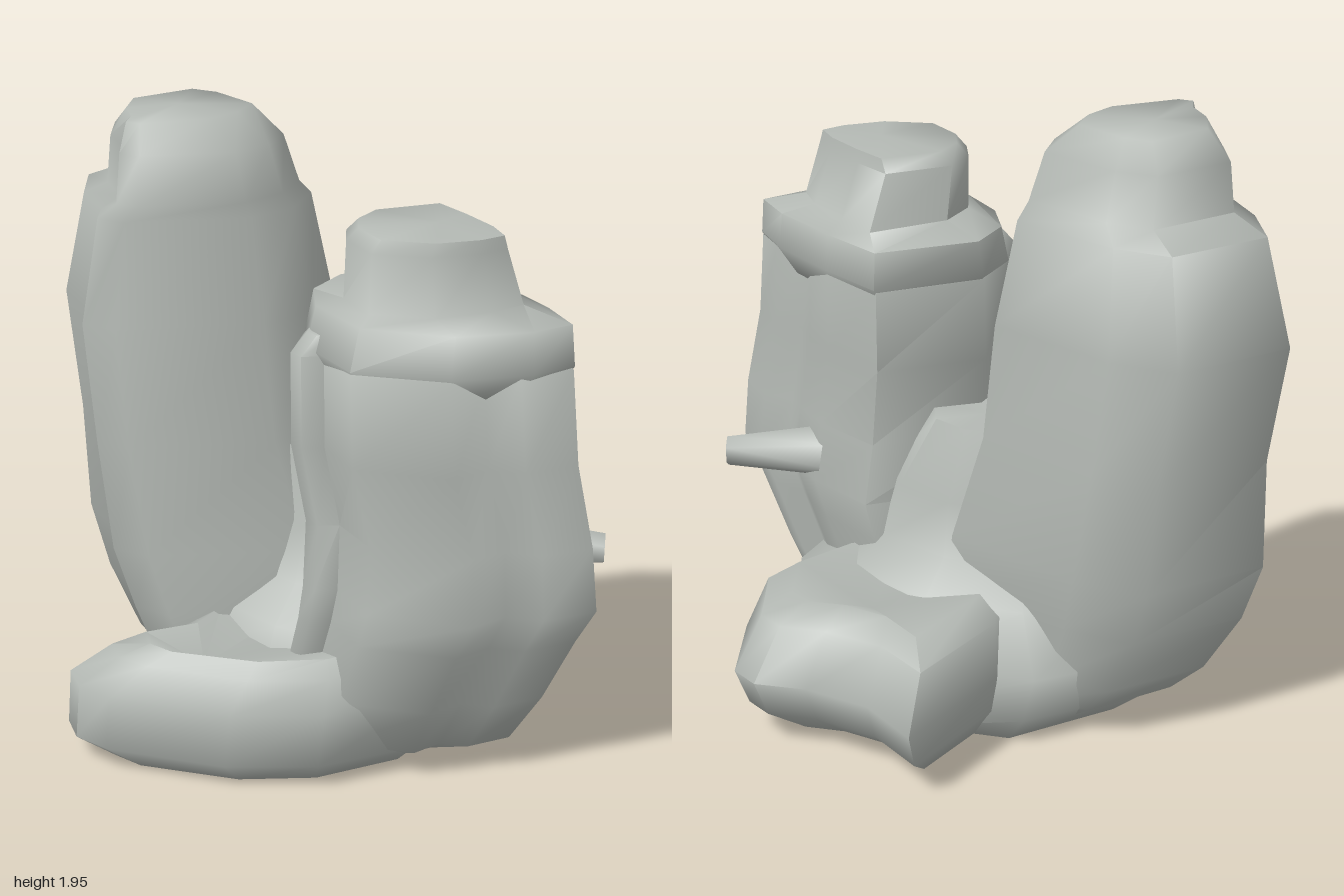
import * as THREE from 'three';
import { toCreasedNormals } from 'three/addons/utils/BufferGeometryUtils.js';

const stone = new THREE.MeshStandardMaterial({ color: 0xb4b9b4 });
stone.name = 'pale grey';

// Stacks one outline, fitted at each level to [y, xMin, xMax, zMin, zMax].
// dent = [x, y, z] is the middle of the top cap.
function loft(name, outline, levels, dent) {
  const pts = outline.map(p => new THREE.Vector2(...p));
  if (THREE.ShapeUtils.area(pts) > 0) pts.reverse();
  const box = new THREE.Box2().setFromPoints(pts);
  const size = box.getSize(new THREE.Vector2());
  const n = pts.length, pos = [], idx = [];
  for (const [y, x0, x1, z0, z1] of levels) {
    for (const p of pts) {
      pos.push(x0 + (x1 - x0) * (p.x - box.min.x) / size.x, y,
        z0 + (z1 - z0) * (p.y - box.min.y) / size.y);
    }
  }
  const middle = ([y, x0, x1, z0, z1]) => [(x0 + x1) / 2, y, (z0 + z1) / 2];
  const last = levels.length - 1, bottom = levels.length * n, top = bottom + 1;
  pos.push(...middle(levels[0]), ...(dent || middle(levels[last])));
  for (let j = 0; j < n; j++) {
    const k = (j + 1) % n;
    for (let i = 0; i < last; i++) {
      const a = i * n + j, b = i * n + k;
      idx.push(a, b, b + n, a, b + n, a + n);
    }
    idx.push(k, j, bottom, last * n + j, last * n + k, top);
  }
  const g = new THREE.BufferGeometry();
  g.setAttribute('position', new THREE.Float32BufferAttribute(pos, 3));
  g.setIndex(idx);
  const mesh = new THREE.Mesh(toCreasedNormals(g, 1.15), stone);
  mesh.name = name;
  return mesh;
}

export function createModel() {
  const group = new THREE.Group();
  group.name = 'branchingLump';

  // Tall column with a sloping shoulder and a groove beside its front ridge
  group.add(loft('tallColumn',
    [[-1, 0.08], [-0.8, -0.28], [-0.58, -0.3], [-0.14, -0.2], [-0.08, 0], [-0.13, 0.2],
      [-0.48, 0.51], [-0.6, 0.52], [-0.67, 0.41], [-0.86, 0.28]],
    [
      [0.01, -0.48, 0.05, -0.16, 0.32],
      [0.1, -0.65, 0.08, -0.2, 0.4],
      [0.2, -0.76, 0.1, -0.23, 0.45],
      [0.4, -0.88, 0.1, -0.25, 0.49],
      [0.6, -0.95, 0.06, -0.3, 0.52],
      [0.95, -0.94, -0.05, -0.28, 0.53],
      [1.33, -1, -0.09, -0.28, 0.52],
      [1.66, -0.91, -0.15, -0.22, 0.46],
      [1.71, -0.79, -0.17, -0.16, 0.44],
      [1.86, -0.77, -0.21, -0.12, 0.41],
      [1.95, -0.69, -0.32, -0.08, 0.37],
    ], [-0.52, 1.955, 0.12]));

  // Shorter column with side grooves and a thin inner flange
  group.add(loft('shortColumn',
    [[0.04, 0.08], [0.27, -0.22], [0.5, -0.13], [0.62, -0.04], [0.68, 0.02], [0.78, 0.01],
      [0.89, 0.1], [0.8, 0.26], [0.7, 0.3], [0.66, 0.43], [0.38, 0.54], [0.22, 0.43],
      [0.17, 0.48], [0.12, 0.46], [0.05, 0.27]],
    [
      [0.01, 0, 0.5, -0.12, 0.3],
      [0.1, 0, 0.7, -0.15, 0.43],
      [0.28, 0, 0.82, -0.17, 0.49],
      [0.5, 0.06, 0.93, -0.18, 0.51],
      [0.62, 0.08, 1, -0.18, 0.52],
      [0.82, 0.07, 0.98, -0.15, 0.48],
      [1.08, 0.05, 0.93, -0.16, 0.53],
      [1.36, 0.04, 0.89, -0.19, 0.51],
      [1.42, 0.08, 0.84, -0.16, 0.46],
    ]));

  // Crown of the shorter column, stepped in on both sides
  group.add(loft('shortCrown',
    [[0.04, 0.08], [0.27, -0.22], [0.5, -0.13], [0.75, -0.01], [0.89, 0.1], [0.83, 0.24],
      [0.66, 0.43], [0.38, 0.54], [0.15, 0.42], [0.05, 0.27]],
    [
      [1.28, 0.1, 0.82, -0.14, 0.46],
      [1.37, 0.04, 0.89, -0.2, 0.51],
      [1.49, 0.05, 0.87, -0.19, 0.46],
      [1.53, 0.18, 0.72, -0.13, 0.44],
      [1.7, 0.18, 0.68, -0.05, 0.4],
      [1.74, 0.22, 0.67, -0.03, 0.38],
    ], [0.46, 1.75, 0.16]));

  // Low lobe reaching forward, with a hollow in its top
  group.add(loft('frontLobe',
    [[-0.52, 0.76], [-0.43, 0.83], [-0.3, 0.84], [0.08, 0.73], [0.32, 0.57], [0.5, 0.3],
      [0.4, 0], [-0.1, 0], [-0.4, 0.42], [-0.38, 0.59]],
    [
      [0.01, -0.42, 0.4, 0, 0.75],
      [0.09, -0.52, 0.48, 0, 0.84],
      [0.26, -0.52, 0.5, 0, 0.82],
      [0.36, -0.4, 0.46, 0, 0.75],
      [0.41, -0.3, 0.4, 0, 0.7],
    ], [-0.1, 0.34, 0.6]));

  // Low lobe reaching back
  group.add(loft('backLobe',
    [[-0.23, -0.84], [-0.02, -0.74], [0.2, -0.74], [0.36, -0.79], [0.46, -0.75], [0.6, -0.48],
      [0.5, -0.2], [0.3, 0], [-0.2, 0], [-0.27, -0.38]],
    [
      [0.01, -0.18, 0.5, -0.62, 0],
      [0.12, -0.25, 0.58, -0.78, 0],
      [0.25, -0.27, 0.6, -0.84, 0],
      [0.4, -0.23, 0.56, -0.71, 0],
      [0.45, -0.14, 0.48, -0.6, 0],
    ], [0.16, 0.4, -0.42]));

  // Core joining the columns and lobes
  group.add(loft('core',
    [[-1, 0], [-0.6, -0.8], [0, -1], [0.6, -0.8], [1, 0], [0.6, 0.8], [0, 1], [-0.6, 0.8]],
    [
      [0.005, -0.48, 0.52, -0.4, 0.42],
      [0.1, -0.6, 0.66, -0.44, 0.46],
      [0.25, -0.66, 0.72, -0.44, 0.48],
      [0.42, -0.5, 0.55, -0.32, 0.4],
      [0.52, -0.4, 0.44, -0.21, 0.28],
      [0.7, -0.32, 0.36, -0.18, 0.22],
      [0.93, -0.2, 0.2, -0.11, 0.18],
    ]));

  // Stub twig on the back of the short column
  const from = new THREE.Vector3(0.5, 0.7, 0.02), to = new THREE.Vector3(0.87, 0.69, -0.17);
  const dir = to.clone().sub(from);
  const twig = new THREE.Mesh(
    toCreasedNormals(new THREE.CylinderGeometry(0.05, 0.1, dir.length(), 6), 1.15), stone);
  twig.name = 'twig';
  twig.position.copy(from).add(to).multiplyScalar(0.5);
  twig.quaternion.setFromUnitVectors(new THREE.Vector3(0, 1, 0), dir.normalize());
  group.add(twig);

  return group;
}
